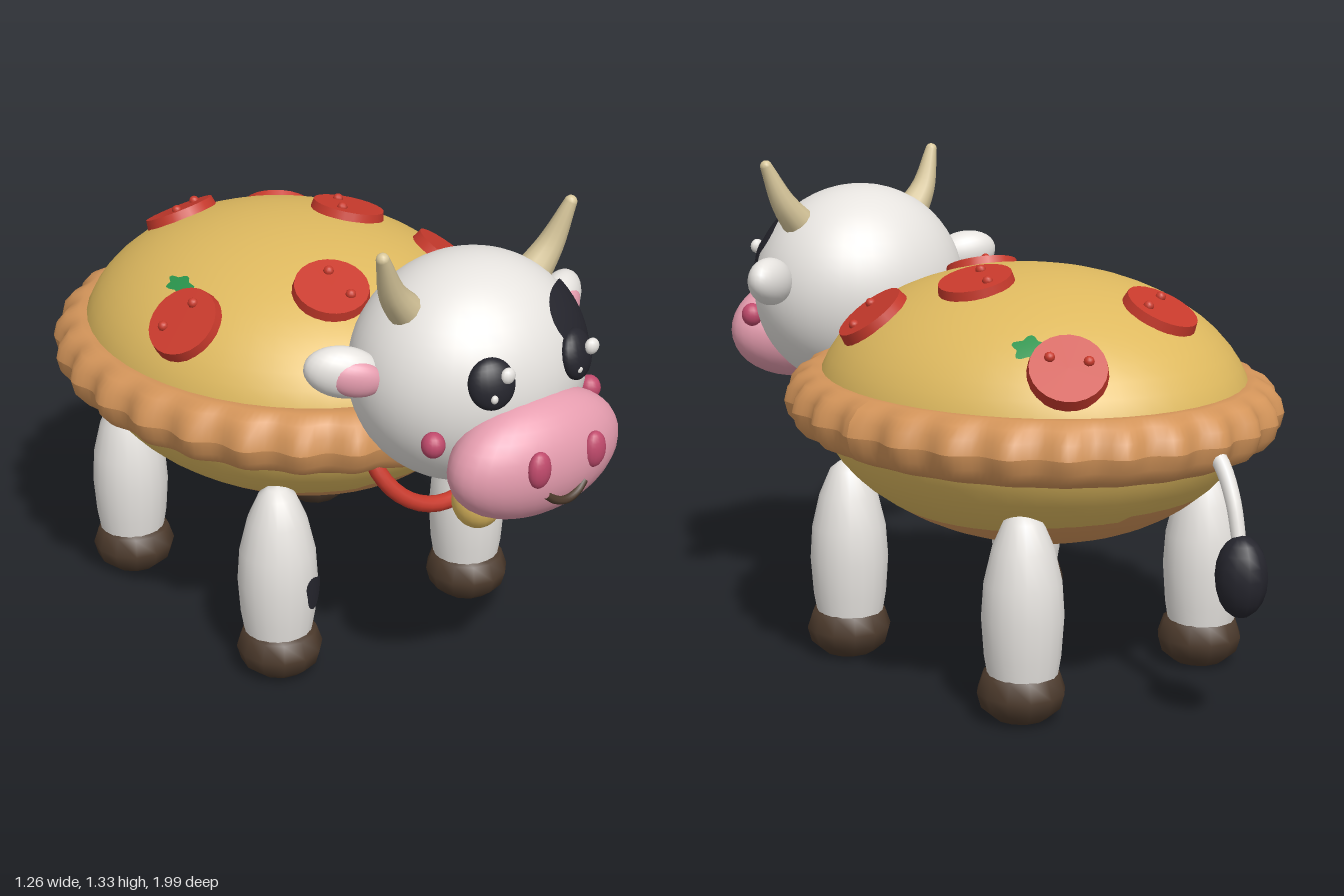
import * as THREE from 'three';

const V = (x, y, z) => new THREE.Vector3(x, y, z);
const material = (name, color) => Object.assign(new THREE.MeshStandardMaterial({ color }), { name });

export function createModel() {
  const root = new THREE.Group();
  root.name = 'pieCow';
  const white = material('white hide', 0xe6e3df);
  const black = material('black spots', 0x25252d);
  const pink = material('pink skin', 0xe69daf);
  const rose = material('rose', 0xc04a6c);
  const ivory = material('horn ivory', 0xd9c89c);
  const cheese = material('cheese yellow', 0xdeb95f);
  const crust = material('baked crust', 0xd4955a);
  const red = material('tomato red', 0xc83a2c);
  const green = material('basil green', 0x2a944c);
  const brown = material('hoof brown', 0x4c3a2c);

  const add = (name, geometry, mat, parent = root) => {
    const mesh = new THREE.Mesh(geometry, mat);
    mesh.name = name;
    parent.add(mesh);
    return mesh;
  };

  const blob = (name, mat, c, r, w = 24, h = 16) => {
    const mesh = add(name, new THREE.SphereGeometry(1, w, h), mat);
    mesh.position.set(...c);
    mesh.scale.set(...r);
    return mesh;
  };

  // Tapered tube: the radius runs from r0 to r1 along the path, with round ends
  const taper = (name, mat, points, r0, r1, seg = 12) => {
    const curve = new THREE.CatmullRomCurve3(points);
    const geo = new THREE.TubeGeometry(curve, seg, 1, 12);
    const pos = geo.attributes.position, p = V(0, 0, 0);
    for (let i = 0; i < pos.count; i++) {
      const t = Math.floor(i / 13) / seg, c = curve.getPointAt(t);
      p.fromBufferAttribute(pos, i).sub(c).multiplyScalar(r0 + (r1 - r0) * t).add(c);
      pos.setXYZ(i, p.x, p.y, p.z);
    }
    add(name, geo, mat);
    blob(name + 'Tip', mat, curve.getPointAt(1).toArray(), [r1, r1, r1], 12, 8);
  };

  // Point and normal on an ellipsoid
  const normalAt = (p, c, r) => V((p.x - c[0]) / r[0] ** 2, (p.y - c[1]) / r[1] ** 2, (p.z - c[2]) / r[2] ** 2).normalize();

  // Thin painted patch that hugs an ellipsoid; wobble shapes its outline
  const patch = (name, mat, c, r, at, ru, rv, wobble = () => 1, lift = 0.008) => {
    const n = normalAt(at, c, r);
    const u = (Math.abs(n.y) > 0.9 ? V(0, 0, 1) : V(0, 1, 0)).cross(n).normalize();
    const v = n.clone().cross(u);
    const rings = 6, seg = 28, pos = [], idx = [];
    for (let i = 0; i <= rings; i++) for (let j = 0; j <= seg; j++) {
      const a = (j / seg) * Math.PI * 2, k = (i / rings) * wobble(a);
      const p = at.clone().addScaledVector(u, Math.cos(a) * ru * k).addScaledVector(v, Math.sin(a) * rv * k);
      const e = V((p.x - c[0]) / r[0], (p.y - c[1]) / r[1], (p.z - c[2]) / r[2]).normalize();
      const q = V(c[0] + e.x * r[0], c[1] + e.y * r[1], c[2] + e.z * r[2]);
      q.addScaledVector(normalAt(q, c, r), lift);
      pos.push(q.x, q.y, q.z);
      if (i < rings && j < seg) {
        const o = i * (seg + 1) + j, m = o + seg + 1;
        idx.push(o, m, m + 1, o, m + 1, o + 1);
      }
    }
    const geo = new THREE.BufferGeometry();
    geo.setAttribute('position', new THREE.Float32BufferAttribute(pos, 3));
    geo.setIndex(idx);
    geo.computeVertexNormals();
    return add(name, geo, mat);
  };

  // Body: pie base, cheese dome and scalloped crust ring
  const domeC = [0, 0.74, -0.13], domeR = [0.55, 0.36, 0.62];
  blob('pieBase', crust, [0, 0.72, -0.13], [0.52, 0.35, 0.6], 48, 28);
  blob('cheeseDome', cheese, domeC, domeR, 48, 28);
  const ring = new THREE.TorusGeometry(1, 0.1, 14, 224);
  const rp = ring.attributes.position;
  for (let i = 0; i < rp.count; i++) {
    const a = Math.atan2(rp.getY(i), rp.getX(i));
    const c = (Math.hypot(rp.getX(i), rp.getY(i)) - 1) / 0.1, s = rp.getZ(i) / 0.1;
    const d = 0.083 * c + 0.013 * Math.cos(28 * a) * Math.max(c, 0);
    rp.setXYZ(i, Math.cos(a) * (0.535 + d), 0.735 + 0.087 * s, -0.125 - Math.sin(a) * (0.615 + d));
  }
  ring.computeVertexNormals();
  add('crustRing', ring, crust);

  // Pepperoni slices with small bumps, laid on the dome
  const onDome = (x, z) => V(x, domeC[1] + domeR[1] * Math.sqrt(1 - (x / domeR[0]) ** 2 - ((z - domeC[2]) / domeR[2]) ** 2), z);
  const slices = [[-0.095, -0.51], [0.28, -0.56], [0.2, -0.13], [-0.43, -0.01], [-0.115, 0.2], [0.36, 0.1]];
  slices.forEach(([x, z], i) => {
    const slice = new THREE.Group();
    slice.name = 'pepperoni';
    const at = onDome(x, z);
    slice.position.copy(at);
    slice.quaternion.setFromUnitVectors(V(0, 1, 0), normalAt(at, domeC, domeR));
    root.add(slice);
    add('slice', new THREE.CylinderGeometry(0.098, 0.104, 0.034, 24), red, slice);
    for (const k of [0, 1]) {
      const a = i * 1.3 + k * 2.2;
      const bump = add('bump', new THREE.SphereGeometry(0.014, 10, 8), red, slice);
      bump.position.set(Math.cos(a) * 0.055, 0.018, Math.sin(a) * 0.055);
    }
  });
  const leafEdge = (a) => 1 + 0.2 * Math.sin(5 * a);
  patch('basilLeaf', green, domeC, domeR, onDome(0.315, -0.46), 0.04, 0.035, leafEdge, 0.012);
  patch('basilLeaf', green, domeC, domeR, onDome(-0.37, -0.11), 0.045, 0.025, leafEdge, 0.012);

  // Legs and hooves
  const lathe = (pts, seg) => new THREE.LatheGeometry(pts.map(([x, y]) => new THREE.Vector2(x, y)), seg);
  const legGeo = lathe([[0.085, 0.09], [0.1, 0.18], [0.107, 0.28], [0.101, 0.37], [0.08, 0.46], [0.05, 0.53], [0.025, 0.55], [0, 0.556]], 20);
  const hoofGeo = lathe([[0, 0.004], [0.07, 0.01], [0.105, 0.04], [0.116, 0.08], [0.1, 0.128], [0.06, 0.148], [0, 0.15]], 12);
  for (const x of [-0.332, 0.332]) for (const z of [0.25, -0.455]) {
    add('leg', legGeo, white).position.set(x, 0, z);
    add('hoof', hoofGeo, brown).position.set(x, 0, z + 0.006);
  }
  patch('legSpot', black, [-0.332, 0.28, 0.25], [0.107, 0.4, 0.107], V(-0.285, 0.268, 0.346), 0.042, 0.046,
    (a) => 1 + 0.15 * Math.sin(3 * a + 1), 0.005);

  // Tail
  taper('tail', white, [V(0, 0.74, -0.77), V(0.008, 0.69, -0.83), V(0.02, 0.61, -0.88), V(0.032, 0.49, -0.918)], 0.023, 0.018);
  blob('tailTuft', black, [0.034, 0.43, -0.925], [0.066, 0.105, 0.068], 12, 10);

  // Head and muzzle
  const headC = [0, 0.95, 0.605], headR = [0.315, 0.295, 0.278];
  blob('head', white, headC, headR, 40, 28);
  blob('muzzle', pink, [0, 0.805, 0.86], [0.258, 0.158, 0.13], 32, 20);
  const smile = new THREE.CatmullRomCurve3([V(-0.062, 0.756, 0.975), V(-0.035, 0.735, 0.98), V(0, 0.726, 0.982), V(0.035, 0.735, 0.98), V(0.062, 0.756, 0.975)]);
  add('mouth', new THREE.TubeGeometry(smile, 16, 0.011, 8), brown);
  patch('eyePatch', black, headC, headR, V(0.19, 1.09, 0.783), 0.13, 0.108, (a) => 1 + 0.1 * Math.sin(3 * a + 0.6));

  // Paired face parts
  for (const s of [-1, 1]) {
    blob('nostril', rose, [s * 0.09, 0.832, 0.976], [0.033, 0.048, 0.024], 16, 12);
    blob('cheek', rose, [s * 0.257, 0.872, 0.78], [0.03, 0.033, 0.03], 16, 12);
    const eye = blob('eye', black, [s * 0.137, 1.026, 0.848], [0.06, 0.065, 0.032], 20, 14);
    eye.rotation.set(-0.25, s * 0.35, 0);
    blob('eyeShine', white, [s * 0.137 + 0.026, 1.05, 0.876], [0.021, 0.021, 0.015], 12, 8);
    blob('eyeGlint', white, [s * 0.137 - 0.018, 1.002, 0.881], [0.01, 0.011, 0.008], 10, 8);
    const ear = blob('ear', white, [s * 0.355, 1.01, 0.555], [0.1, 0.066, 0.052]);
    ear.rotation.set(0, s * 0.5, s * 0.22);
    const inner = blob('innerEar', pink, [s * 0.347, 1.003, 0.592], [0.072, 0.047, 0.03]);
    inner.rotation.set(0, s * 0.5, s * 0.22);
    taper('horn', ivory, [V(s * 0.18, 1.12, 0.61), V(s * 0.255, 1.21, 0.618), V(s * 0.302, 1.318, 0.635)], 0.054, 0.017);
  }

  // Collar and bell
  const collar = add('collar', new THREE.TorusGeometry(0.195, 0.022, 12, 40), red);
  collar.position.set(0, 0.705, 0.46);
  collar.rotation.x = -0.45;
  blob('bell', cheese, [0, 0.585, 0.66], [0.066, 0.077, 0.068], 20, 14);
  return root;
}
